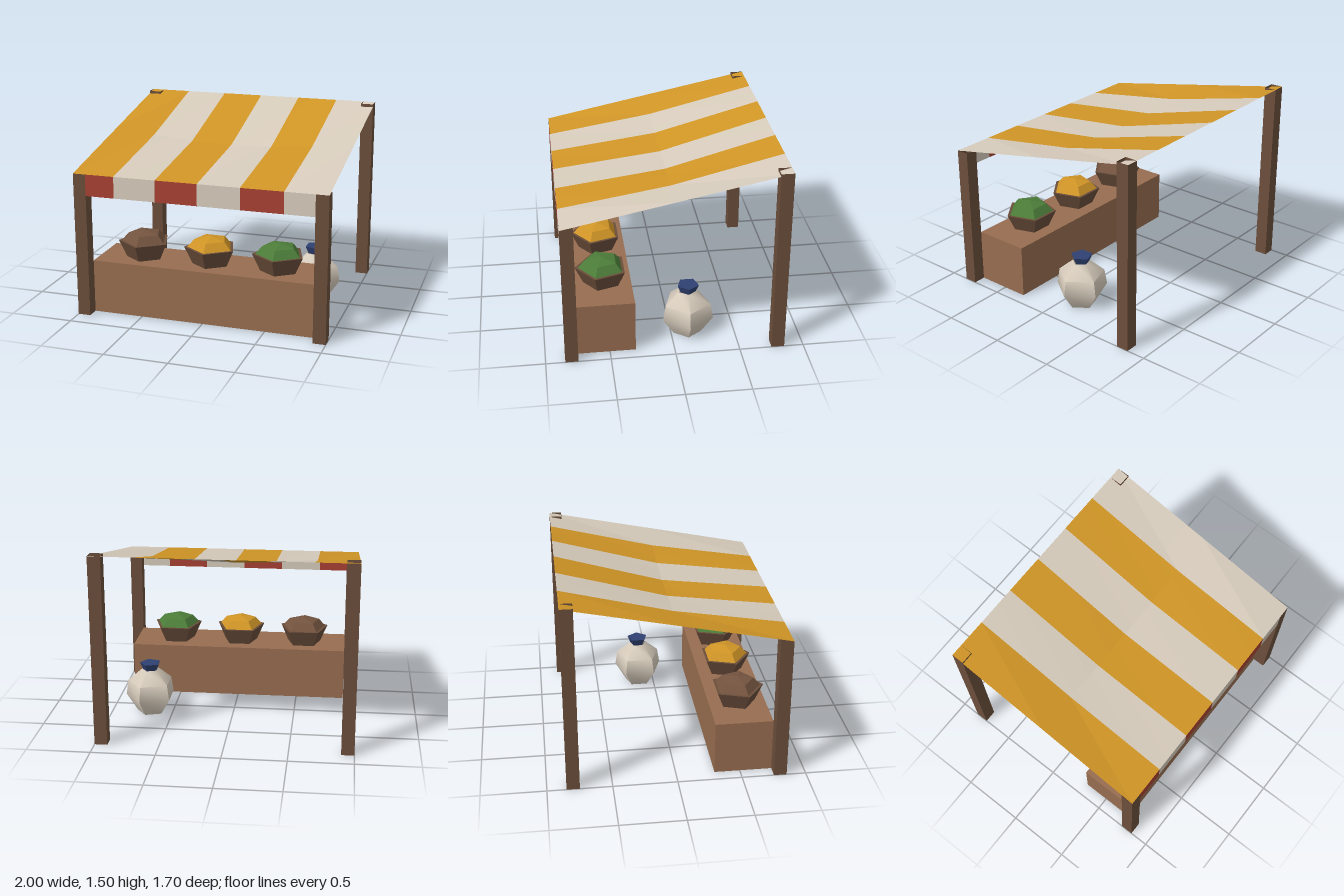
import * as THREE from 'three';
import { toCreasedNormals } from 'three/addons/utils/BufferGeometryUtils.js';

const mat = (name, color) => {
  const m = new THREE.MeshStandardMaterial({ color, side: THREE.DoubleSide });
  m.name = name;
  return m;
};

export function createModel() {
  const postWood = mat('dark wood', 0x6b4e3b);
  const counterWood = mat('counter wood', 0x976d50);
  const cream = mat('cream cloth', 0xd6cbbb);
  const yellow = mat('yellow', 0xd09526);
  const red = mat('red cloth', 0xa84032);
  const green = mat('green produce', 0x4c7d39);
  const brown = mat('brown produce', 0x74543f);
  const blue = mat('blue tie', 0x2f4172);

  const root = new THREE.Group();
  root.name = 'marketStall';
  const add = (name, geometry, material, x = 0, y = 0, z = 0) => {
    const mesh = new THREE.Mesh(geometry, material);
    mesh.name = name;
    mesh.position.set(x, y, z);
    root.add(mesh);
    return mesh;
  };
  const flat = (g) => toCreasedNormals(g, 0.1);
  const lathe = (pts, sides, crease) =>
    toCreasedNormals(new THREE.LatheGeometry(pts.map(([r, y]) => new THREE.Vector2(r, y)), sides), crease);

  // Square posts, open at both ends, taller at the back
  for (const x of [-0.95, 0.95]) {
    for (const [name, z, h] of [['frontPost', 0.8, 1.15], ['backPost', -0.8, 1.5]]) {
      const r = 0.1 / Math.SQRT2;
      const g = new THREE.CylinderGeometry(r, r, h, 4, 1, true).rotateY(Math.PI / 4);
      add(name, flat(g), postWood, x, h / 2, z);
    }
  }

  // Counter: a box without its bottom face
  const box = new THREE.BoxGeometry(1.8, 0.425, 0.45);
  const idx = Array.from(box.index.array);
  box.clearGroups();
  box.setIndex([...idx.slice(0, 18), ...idx.slice(24)]);
  add('counter', box, counterWood, 0, 0.2125, 0.525);

  // Striped canopy, sagging in the middle, with a valance along the front
  const canopyY = (x, z) =>
    1.325 - (0.35 * z) / 1.7 - 0.07 * Math.cos((x * Math.PI) / 2) * (1 - Math.abs(z) / 0.85);
  for (let i = 0; i < 6; i++) {
    const x0 = -1 + i / 3, x1 = x0 + 1 / 3;
    const stripe = new THREE.PlaneGeometry(x1 - x0, 1.7, 1, 2).rotateX(-Math.PI / 2);
    stripe.translate((x0 + x1) / 2, 0, 0);
    const p = stripe.attributes.position;
    for (let k = 0; k < p.count; k++) p.setY(k, canopyY(p.getX(k), p.getZ(k)));
    add('canopyStripe', flat(stripe), i % 2 ? cream : yellow);

    const a = Math.max(x0, -0.9), b = Math.min(x1, 0.9);
    add('valanceStripe', new THREE.PlaneGeometry(b - a, 0.17), i % 2 ? cream : red, (a + b) / 2, 1.065, 0.85);
  }

  // Five-sided baskets with heaped produce
  [[-0.55, brown], [0, yellow], [0.55, green]].forEach(([x, produce]) => {
    add('basket', flat(new THREE.CylinderGeometry(0.21, 0.147, 0.135, 5)), postWood, x, 0.4925, 0.525);
    add('produce', lathe([[0.19, 0.555], [0.13, 0.622], [0, 0.645]], 5, 0.1), produce, x, 0, 0.525);
  });

  // Tied sack behind the counter
  const sack = add('sack', lathe([[0, 0], [0.115, 0], [0.208, 0.14], [0.187, 0.265], [0.07, 0.368]], 5, 1), cream, 0.68, 0, -0.13);
  const tie = add('sackTie', lathe([[0.062, 0.365], [0.088, 0.425], [0, 0.425]], 5, 0.1), blue, 0.68, 0, -0.135);
  sack.rotation.y = tie.rotation.y = Math.PI / 2;

  return root;
}
